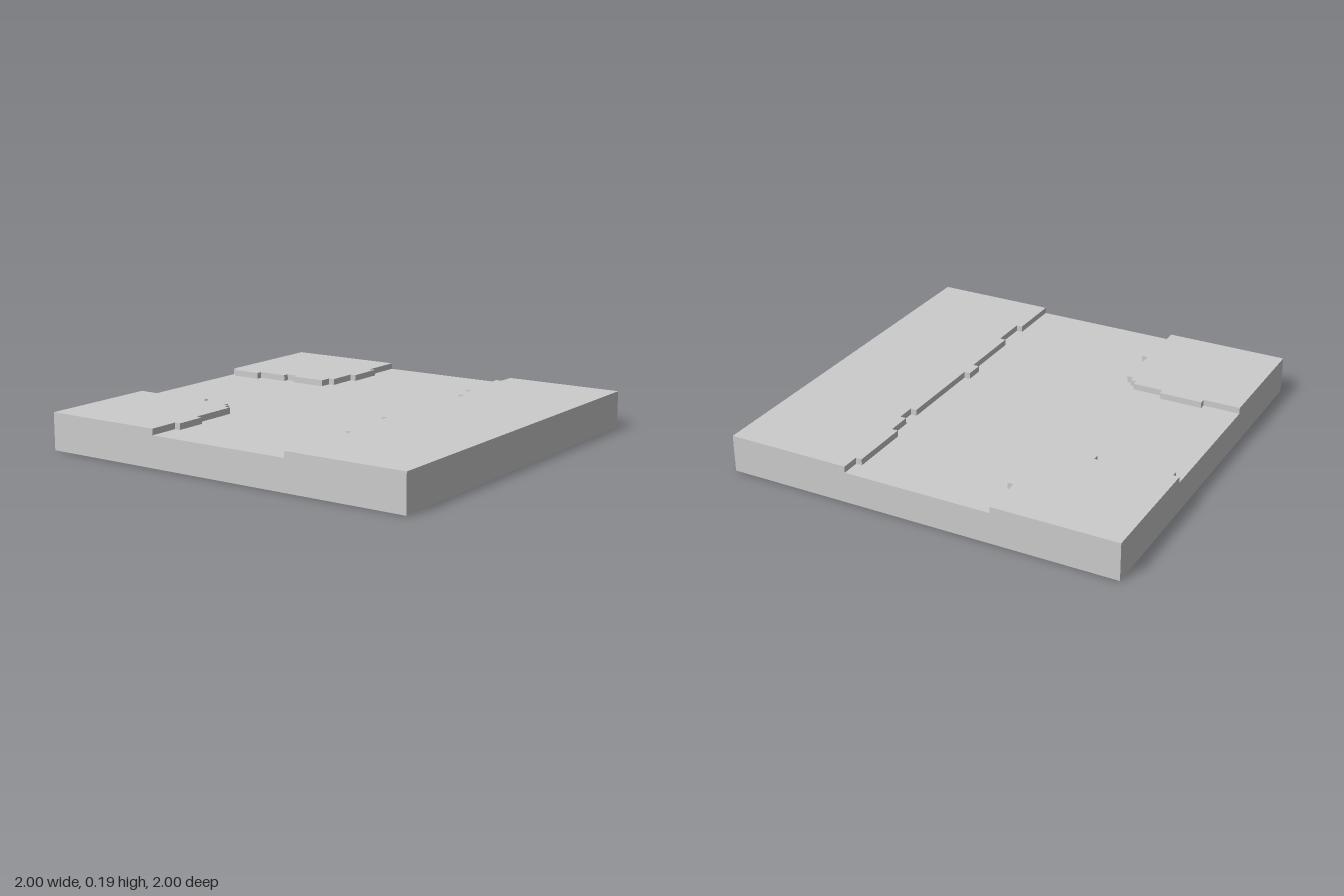
import * as THREE from 'three';

const U = 1 / 32;        // one block of the 64 x 64 block grid
const BASE = 5 * U;      // height of the sunken road surface
const material = new THREE.MeshStandardMaterial({ color: 0xcccccc, flatShading: true });

// One-block-high layer from its plan outline, [x, z] corners in blocks
function raisedBlock(name, corners) {
  const shape = new THREE.Shape(corners.map(([x, z]) => new THREE.Vector2(x * U, z * U)));
  const geometry = new THREE.ExtrudeGeometry(shape, { depth: U, bevelEnabled: false });
  geometry.rotateX(Math.PI / 2).translate(0, BASE + U, 0);
  const mesh = new THREE.Mesh(geometry, material);
  mesh.name = name;
  return mesh;
}

// Stepped edge running along z: each run is [x, zEnd]
function edgeAlongZ(zStart, runs) {
  let z = zStart;
  return runs.flatMap(([x, end]) => {
    const pair = [[x, z], [x, end]];
    z = end;
    return pair;
  });
}

// Stepped edge running along x: each run is [z, xEnd]
const edgeAlongX = (xStart, runs) => edgeAlongZ(xStart, runs).map(([z, x]) => [x, z]);

export function createModel() {
  const model = new THREE.Group();
  model.name = 'roadTile';

  // Ground slab whose top is the T-shaped road
  const slab = new THREE.Mesh(new THREE.BoxGeometry(2, BASE, 2), material);
  slab.name = 'groundSlab';
  slab.position.y = BASE / 2;
  model.add(slab);

  // Long verge on the left side
  model.add(raisedBlock('leftVerge', [
    ...edgeAlongZ(-32, [[12, -29], [11, -19], [12, -15], [13, -12], [12, 3],
      [11, 6], [12, 17], [13, 23], [12, 32]]),
    [32, 32], [32, -32],
  ]));

  // Corner verge at the back right
  model.add(raisedBlock('backRightVerge', [
    [-32, -32],
    ...edgeAlongZ(-32, [[-12, -25], [-11, -19], [-12, -14], [-13, -12]]),
    ...edgeAlongX(-13, [[-12, -19], [-13, -21], [-12, -26], [-11, -31], [-12, -32]]).slice(1),
  ]));

  // Corner verge at the front right
  model.add(raisedBlock('frontRightVerge', [
    [-32, 32],
    ...edgeAlongX(-32, [[12, -26], [11, -19], [12, -14], [13, -13], [14, -12]]),
    ...edgeAlongZ(14, [[-12, 22], [-11, 27], [-12, 32]]).slice(1),
  ]));

  return model;
}
